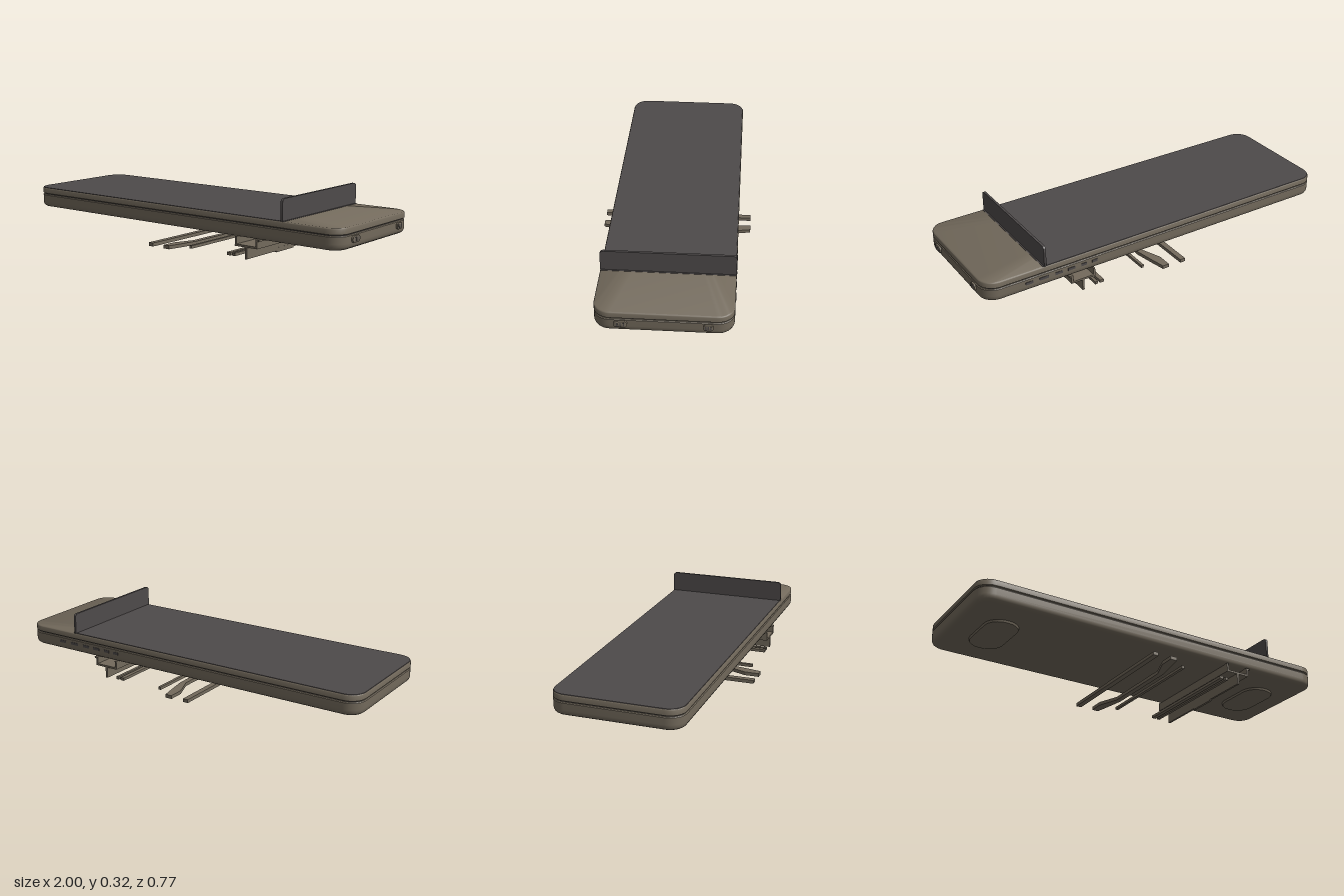
import * as THREE from 'three';
import { toCreasedNormals } from 'three/addons/utils/BufferGeometryUtils.js';

const tan = new THREE.MeshStandardMaterial({ color: 0x736a5c });
tan.name = 'warm grey shell';
const dark = new THREE.MeshStandardMaterial({ color: 0x4e4a4a });
dark.name = 'charcoal';

// Rounded rectangle outline; rl and rr are the radii at the -x and +x ends
function outline(x0, x1, z0, z1, rl, rr, inset = 0) {
  const pts = [];
  const corner = (cx, cz, r, start) => {
    for (let i = 0; i <= 8; i++) {
      const a = start + (i / 8) * Math.PI / 2;
      const q = Math.max(r - inset, 0.001);
      pts.push([cx + q * Math.cos(a), cz - q * Math.sin(a)]);
    }
  };
  const l = Math.max(rl, inset + 0.001), r = Math.max(rr, inset + 0.001);
  corner(x1 - r, z0 + r, r, 0);
  corner(x0 + l, z0 + l, l, Math.PI / 2);
  corner(x0 + l, z1 - l, l, Math.PI);
  corner(x1 - r, z1 - r, r, Math.PI * 1.5);
  return pts;
}

// Closed solid lofted through [height, inset] rings of one outline
function slab([x0, x1, z0, z1, rl, rr], rings) {
  const pos = [], idx = [];
  let n = 0;
  for (const [y, inset] of rings) {
    const pts = outline(x0, x1, z0, z1, rl, rr, inset);
    n = pts.length;
    for (const [x, z] of pts) pos.push(x, y, z);
  }
  const base = n * rings.length, cx = (x0 + x1) / 2, cz = (z0 + z1) / 2;
  pos.push(cx, rings[0][0], cz, cx, rings[rings.length - 1][0], cz);
  for (let i = 0; i < n; i++) {
    const j = (i + 1) % n;
    for (let k = 0; k < rings.length - 1; k++) {
      const a = k * n + i, b = k * n + j;
      idx.push(a, b, b + n, a, b + n, a + n);
    }
    idx.push(base, j, i, base + 1, base - n + i, base - n + j);
  }
  const g = new THREE.BufferGeometry();
  g.setAttribute('position', new THREE.Float32BufferAttribute(pos, 3));
  g.setIndex(idx);
  return toCreasedNormals(g, 0.7);
}

export function createModel() {
  const group = new THREE.Group();
  const add = (name, geo, mat, parent = group) => {
    const m = new THREE.Mesh(geo, mat);
    m.name = name;
    parent.add(m);
    return m;
  };
  const box = (name, mat, x0, x1, y0, y1, z0, z1, parent) => {
    const m = add(name, new THREE.BoxGeometry(x1 - x0, y1 - y0, z1 - z0), mat, parent);
    m.position.set((x0 + x1) / 2, (y0 + y1) / 2, (z0 + z1) / 2);
    return m;
  };
  const Z0 = -0.328, Z1 = 0.318;
  const body = [-1, 0.99, Z0, Z1, 0.08, 0.08];

  // Lower shell, seam and lid
  add('lowerShell', slab(body, [[0.108, 0.026], [0.111, 0.015], [0.117, 0.006],
    [0.127, 0.001], [0.14, 0], [0.174, 0], [0.178, 0.004]]), tan);
  add('seam', slab(body, [[0.177, 0.008], [0.183, 0.008]]), dark);
  add('lid', slab(body, [[0.182, 0.004], [0.185, 0], [0.209, 0],
    [0.213, 0.002], [0.215, 0.006]]), tan);

  // Dark cover sheet and upright divider
  add('coverSheet', slab([-0.997, 0.685, Z0 + 0.003, Z1 - 0.003, 0.077, 0.002],
    [[0.2125, 0], [0.2165, 0.001]]), dark);
  const divider = slab([-0.108, 0, Z0, Z1, 0.018, 0.001], [[-0.006, 0], [0.006, 0]]);
  divider.rotateZ(-Math.PI / 2);
  add('divider', divider, dark).position.set(0.671, 0.214, 0);

  // Oval pads under the shell
  for (const x of [-0.78, 0.77]) {
    add('pad', slab([x - 0.09, x + 0.09, -0.17, 0.16, 0.085, 0.085],
      [[0.094, 0.012], [0.097, 0.004], [0.11, 0]]), tan);
  }

  // Channel bracket with a hanging fin
  const bracket = new THREE.Group();
  bracket.name = 'bracket';
  group.add(bracket);
  box('channelFloor', tan, 0.398, 0.532, 0.064, 0.074, Z0, Z1, bracket);
  box('channelWallRight', tan, 0.398, 0.408, 0.07, 0.11, Z0, Z1, bracket);
  box('channelWallLeft', tan, 0.522, 0.532, 0.07, 0.11, Z0, Z1, bracket);
  box('channelFlange', tan, 0.525, 0.543, 0.101, 0.11, Z0, Z1, bracket);
  box('fin', tan, 0.46, 0.471, 0.006, 0.066, Z0, Z1, bracket);
  box('finFoot', tan, 0.459, 0.472, 0, 0.022, -0.075, 0.075, bracket);

  // Thin cross rails below the shell
  box('longRail', tan, -0.1, -0.071, 0.008, 0.026, -0.39, 0.385);
  box('shortRail', tan, 0.112, 0.127, 0.012, 0.027, Z0, Z1);
  box('twinRail', tan, 0.35, 0.372, 0.012, 0.027, Z0, Z1);
  box('twinRail', tan, 0.384, 0.399, 0.012, 0.027, Z0, Z1);

  // Bowed rail: cranked inward between its ends
  const bow = new THREE.Shape([[0, -0.385], [0.036, -0.385], [0.05, -0.32], [0.07, -0.21],
    [0.07, 0.21], [0.05, 0.32], [0.036, 0.39], [0, 0.39], [0, 0.31], [0.042, 0.2],
    [0.042, -0.2], [0, -0.31]].map(([x, y]) => new THREE.Vector2(x, y)));
  const bowGeo = new THREE.ExtrudeGeometry(bow, { depth: 0.018, bevelEnabled: false });
  bowGeo.rotateX(-Math.PI / 2);
  add('bowedRail', bowGeo, tan).position.y = 0.008;

  // Sockets on the end face
  for (const [z, w] of [[0.188, 0.062], [-0.21, 0.046]]) {
    const rim = slab([-0.016, 0.016, -w / 2, w / 2, 0.014, 0.014], [[0, 0], [0.009, 0], [0.01, 0.002]]);
    rim.rotateZ(-Math.PI / 2);
    add('endSocket', rim, tan).position.set(0.99, 0.155, z);
    for (let i = -1; i <= 1; i++) {
      const c = z + i * w * 0.25;
      box('socketSlot', dark, 0.995, 1.001, 0.145, 0.165, c - 0.003, c + 0.003);
    }
  }

  // Row of sockets on the back face
  for (const [x, w] of [[0.4, 0.03], [0.46, 0.03], [0.53, 0.04], [0.6, 0.04], [0.68, 0.05], [0.76, 0.04]]) {
    box('backSocket', dark, x - w / 2, x + w / 2, 0.147, 0.161, Z0 - 0.002, Z0 + 0.004);
  }
  return group;
}
